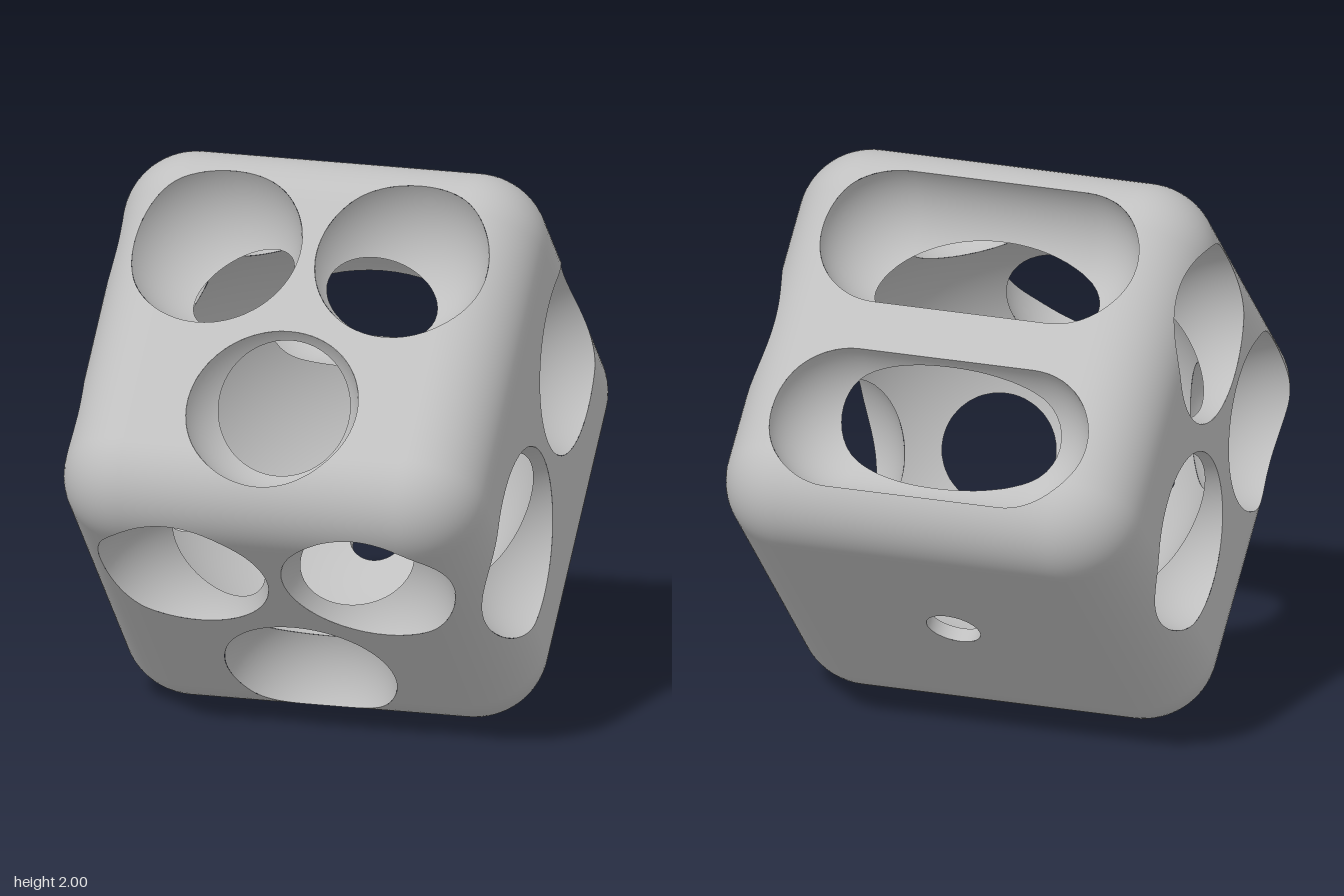
import * as THREE from 'three';

const H = 0.785;       // half side of the cube
const ROUND = 0.267;   // edge rounding
const CAVITY = 0.74;   // radius of the hollow ball inside
const BORE = 0.1;      // small drilled hole

const V = (x, y, z) => new THREE.Vector3(x, y, z);
const core = (p) => p.clone().clampScalar(ROUND - H, H - ROUND);

// Scooped pip: mouth centre on a face, mouth radius, how far the scoop's centre
// floats above the face, half length along x (0 = round)
function scoop(name, mouth, face, radius, rise, len = 0) {
  return { name, c: mouth.addScaledVector(face, rise), r: Math.hypot(radius, rise), len };
}
const UP = V(0, 1, 0), FRONT = V(0, 0, 1), BACK = V(0, 0, -1), LEFT = V(-1, 0, 0), RIGHT = V(1, 0, 0);
const pips = [
  ...[-0.35, 0.35].map((x) => scoop('upperFrontPip', V(x, H, -0.3), UP, 0.32, 0.065)),
  scoop('upperFrontPip', V(0, H, 0.343), UP, 0.315, 0.05),
  ...[-0.35, 0.35].map((x) => scoop('lowerFrontPip', V(x, 0.295, H), FRONT, 0.32, 0.065)),
  scoop('lowerFrontPip', V(0, -0.343, H), FRONT, 0.315, 0.05),
  ...[-0.365, 0.365].map((y) => scoop('backSlot', V(0, y, -H), BACK, 0.27, 0, 0.33)),
  ...[-0.39, 0.39].map((z) => scoop('rightHandPip', V(H, 0, z), RIGHT, 0.355, 0.11)),
  ...[-0.35, 0.35].map((z) => scoop('leftHandPip', V(-H, 0.33, z), LEFT, 0.325, 0.02)),
  scoop('leftHandPip', V(-H, -0.33, 0), LEFT, 0.325, 0.02),
];

// Nearest point on a pip's centre line
const axisPoint = (pip, p) =>
  V(pip.c.x + THREE.MathUtils.clamp(p.x - pip.c.x, -pip.len, pip.len), pip.c.y, pip.c.z);

// Tests: a surface is kept where the value is positive
const outsidePip = (pip) => (p) => axisPoint(pip, p).distanceTo(p) - pip.r;
const outsideBore = (p) => (p.y < 0 ? Math.hypot(p.x, p.z) - BORE : 1);
const outsideCavity = (p) => p.length() - CAVITY;
const insideCube = (p) => ROUND - core(p).distanceTo(p);

// Point on edge a-b where the test changes sign
function crossing(a, b, test) {
  let lo = 0, hi = 1;
  const sign = test(a) > 0;
  for (let i = 0; i < 14; i++) {
    const mid = (lo + hi) / 2;
    if (test(a.clone().lerp(b, mid)) > 0 === sign) lo = mid; else hi = mid;
  }
  return a.clone().lerp(b, (lo + hi) / 2);
}

function clipPolygon(poly, test) {
  const keep = poly.map((p) => test(p) > 0);
  if (keep.every(Boolean)) return poly;
  if (!keep.some(Boolean)) return [];
  const out = [];
  poly.forEach((p, i) => {
    const j = (i + 1) % poly.length;
    if (keep[i]) out.push(p);
    if (keep[i] !== keep[j]) out.push(crossing(p, poly[j], test));
  });
  return out;
}

// Trim a surface by all tests, with exact normals; flip turns it inside out
function trim(geometry, tests, normalAt, flip) {
  const source = geometry.index ? geometry.toNonIndexed() : geometry;
  const pos = source.attributes.position;
  const points = [], normals = [];
  for (let i = 0; i < pos.count; i += 3) {
    let poly = [0, 1, 2].map((k) => new THREE.Vector3().fromBufferAttribute(pos, i + k));
    for (const test of tests) {
      poly = clipPolygon(poly, test);
      if (poly.length < 3) break;
    }
    for (let k = 1; k + 1 < poly.length; k++) {
      const tri = flip ? [poly[0], poly[k + 1], poly[k]] : [poly[0], poly[k], poly[k + 1]];
      for (const p of tri) {
        points.push(p.x, p.y, p.z);
        normals.push(...normalAt(p).normalize().toArray());
      }
    }
  }
  const result = new THREE.BufferGeometry();
  result.setAttribute('position', new THREE.Float32BufferAttribute(points, 3));
  result.setAttribute('normal', new THREE.Float32BufferAttribute(normals, 3));
  return result;
}

// Finely divided cube with rounded edges and corners
function roundedCube() {
  const n = 52;
  const geometry = new THREE.BoxGeometry(2 * H, 2 * H, 2 * H, n, n, n);
  const pos = geometry.attributes.position;
  for (let i = 0; i < pos.count; i++) {
    const p = new THREE.Vector3().fromBufferAttribute(pos, i);
    const c = core(p);
    p.sub(c).setLength(ROUND).add(c);
    pos.setXYZ(i, p.x, p.y, p.z);
  }
  return geometry;
}

export function createModel() {
  const grey = new THREE.MeshStandardMaterial({ color: 0xc0c0c0 });
  grey.name = 'plain grey';

  const model = new THREE.Group();
  model.name = 'hollowCube';
  const body = new THREE.Group();
  body.name = 'tiltedCube';
  body.rotation.x = Math.PI / 4;
  body.position.y = 1;
  model.add(body);

  const add = (name, geometry) => {
    const mesh = new THREE.Mesh(geometry, grey);
    mesh.name = name;
    body.add(mesh);
  };

  // Outer skin and inner ball, both pierced by every hole
  const holes = [...pips.map(outsidePip), outsideBore];
  add('outerShell', trim(roundedCube(), holes, (p) => p.clone().sub(core(p)), false));
  add('innerCavity', trim(new THREE.SphereGeometry(CAVITY, 96, 64), holes, (p) => p.clone().negate(), true));

  // Scooped walls of the pips and slots
  for (const pip of pips) {
    const geometry = pip.len
      ? new THREE.CapsuleGeometry(pip.r, 2 * pip.len, 16, 56, 24).rotateZ(Math.PI / 2)
      : new THREE.SphereGeometry(pip.r, 64, 40);
    geometry.translate(pip.c.x, pip.c.y, pip.c.z);
    const others = pips.filter((other) => other !== pip).map(outsidePip);
    add(pip.name, trim(geometry, [insideCube, outsideCavity, ...others],
      (p) => axisPoint(pip, p).sub(p), true));
  }

  // Wall of the small drilled hole
  const inner = Math.sqrt(CAVITY * CAVITY - BORE * BORE);
  const bore = new THREE.CylinderGeometry(BORE, BORE, H - inner, 48, 1, true);
  bore.translate(0, -(H + inner) / 2, 0);
  add('smallHole', trim(bore, [], (p) => V(-p.x, 0, -p.z), true));

  return model;
}
